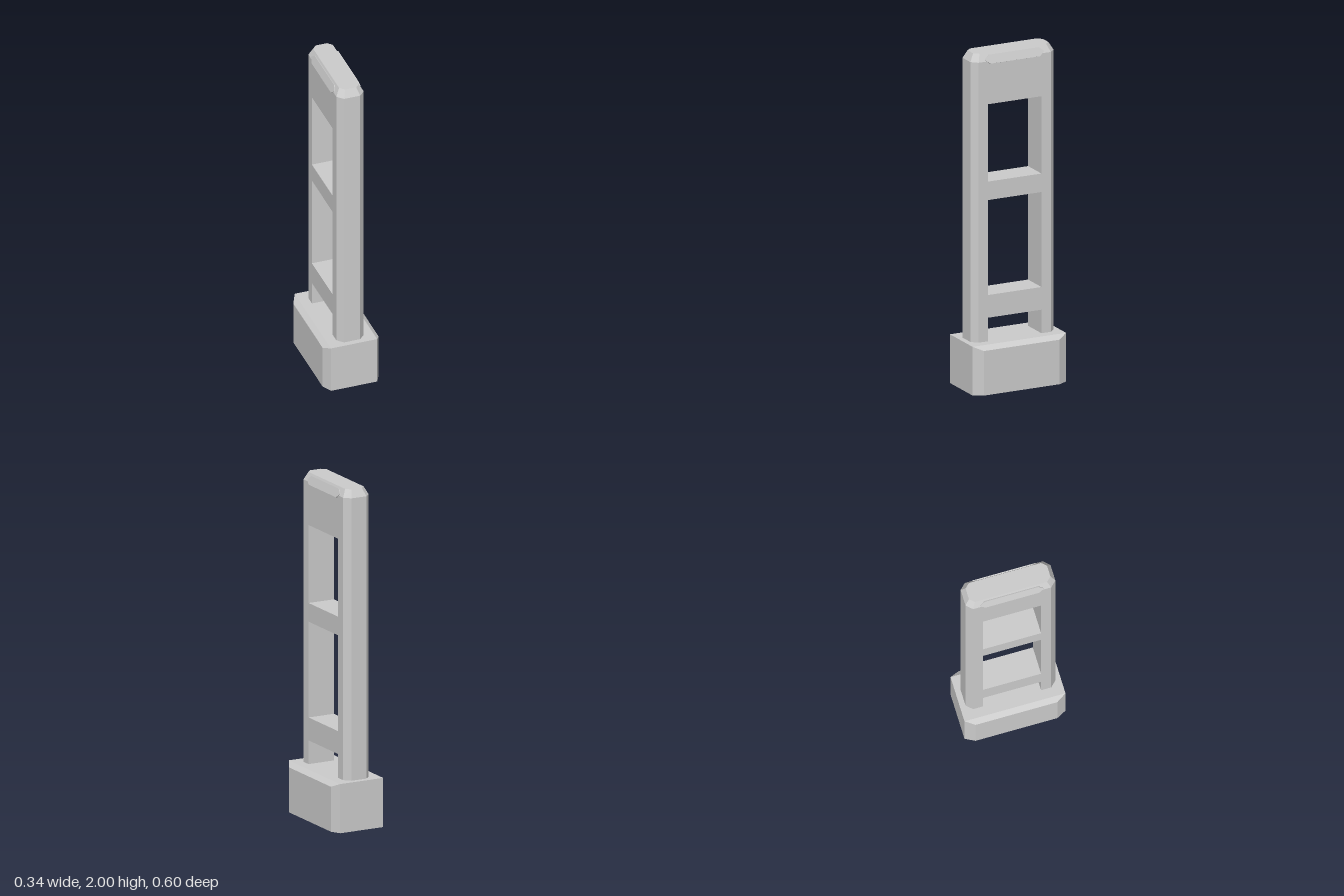
import * as THREE from 'three';

const material = new THREE.MeshStandardMaterial({ color: 0xcccccc, flatShading: true });

// Convex polygons (counter-clockwise from outside) to a flat-shaded mesh
function polyMesh(name, polygons) {
  const positions = [];
  for (const p of polygons)
    for (let i = 1; i < p.length - 1; i++) positions.push(...p[0], ...p[i], ...p[i + 1]);
  const geometry = new THREE.BufferGeometry();
  geometry.setAttribute('position', new THREE.Float32BufferAttribute(positions, 3));
  geometry.computeVertexNormals();
  return named(name, geometry);
}

function named(name, geometry) {
  const mesh = new THREE.Mesh(geometry, material);
  mesh.name = name;
  return mesh;
}

// Octagonal outline: half sizes hx, hz with corners cut back to cx, cz.
// Edge 0 is the +x side, edge 4 the -x side.
function ring(hx, hz, cx, cz, y) {
  return [[hx, cz], [hx, -cz], [cx, -hz], [-cx, -hz], [-hx, -cz], [-hx, cz], [-cx, hz], [cx, hz]]
    .map(([x, z]) => [x, y, z]);
}

function band(a, b, skip = []) {
  return a.map((p, i) => [p, a[(i + 1) % 8], b[(i + 1) % 8], b[i]])
    .filter((_, i) => !skip.includes(i));
}

function createBase() {
  const bottom = ring(0.17, 0.3, 0.14, 0.243, 0);
  // long side edges are lower than the flat top
  const top = bottom.map(([x, , z]) => [x, Math.abs(x) > 0.15 ? 0.265 : 0.29, z]);
  const pick = (...ids) => ids.map(i => top[i]);
  return polyMesh('base', [
    ...band(bottom, top), pick(7, 0, 1, 2), pick(3, 4, 5, 6), pick(2, 3, 6, 7),
    [...bottom].reverse(),
  ]);
}

function createPillar() {
  const pillar = new THREE.Group();
  pillar.name = 'pillar';
  const hx = 0.083, cz = 0.232, w = 0.172, foot = 0.29, shoulder = 1.955;
  const windows = [[foot, 0.43], [0.565, 1.13], [1.24, 1.7]];

  // Rounded ends and bevelled cap
  const low = ring(hx, 0.267, 0.049, cz, foot);
  const mid = ring(hx, 0.267, 0.049, cz, shoulder);
  const top = ring(0.06, 0.242, 0.034, 0.214, 2);
  pillar.add(polyMesh('pillarEnds', band(low, mid, [0, 4])));
  pillar.add(polyMesh('pillarCap', [...band(mid, top), top]));

  // Flat side walls with window openings; the lowest opening is a notch
  const gap = windows[0][1];
  const wall = new THREE.Shape([
    [-cz, foot], [-w, foot], [-w, gap], [w, gap], [w, foot], [cz, foot], [cz, shoulder], [-cz, shoulder],
  ].map(p => new THREE.Vector2(...p)));
  for (const [lo, hi] of windows.slice(1))
    wall.holes.push(new THREE.Path([[-w, lo], [-w, hi], [w, hi], [w, lo]].map(p => new THREE.Vector2(...p))));
  for (const side of [1, -1])
    pillar.add(named(side > 0 ? 'leftWall' : 'rightWall',
      new THREE.ShapeGeometry(wall).rotateY(side * Math.PI / 2).translate(side * hx, 0, 0)));

  // Inner faces of the windows
  const reveals = [];
  const level = y => [[-hx, y, w], [hx, y, w], [hx, y, -w], [-hx, y, -w]];
  for (const [lo, hi] of windows) {
    reveals.push([[hx, lo, w], [-hx, lo, w], [-hx, hi, w], [hx, hi, w]]);
    reveals.push([[-hx, lo, -w], [hx, lo, -w], [hx, hi, -w], [-hx, hi, -w]]);
    reveals.push(level(hi).reverse());
    if (lo > foot) reveals.push(level(lo));
  }
  pillar.add(polyMesh('windowReveals', reveals));
  return pillar;
}

// Thin six-sided strip leaning against the cap bevel
function createStrip(side) {
  const outline = new THREE.Shape([
    [-0.16, -0.026], [0.16, -0.026], [0.19, 0], [0.16, 0.026], [-0.16, 0.026], [-0.19, 0],
  ].map(p => new THREE.Vector2(...p)));
  const geometry = new THREE.ExtrudeGeometry(outline, { depth: 0.02, bevelEnabled: false })
    .translate(0, 0, -0.02)
    .rotateX(-0.35)
    .translate(0, 1.966, 0.081)
    .rotateY(side * Math.PI / 2);
  return named(side > 0 ? 'leftStrip' : 'rightStrip', geometry);
}

export function createModel() {
  const model = new THREE.Group();
  model.name = 'windowedPost';
  model.add(createBase(), createPillar(), createStrip(1), createStrip(-1));
  return model;
}
